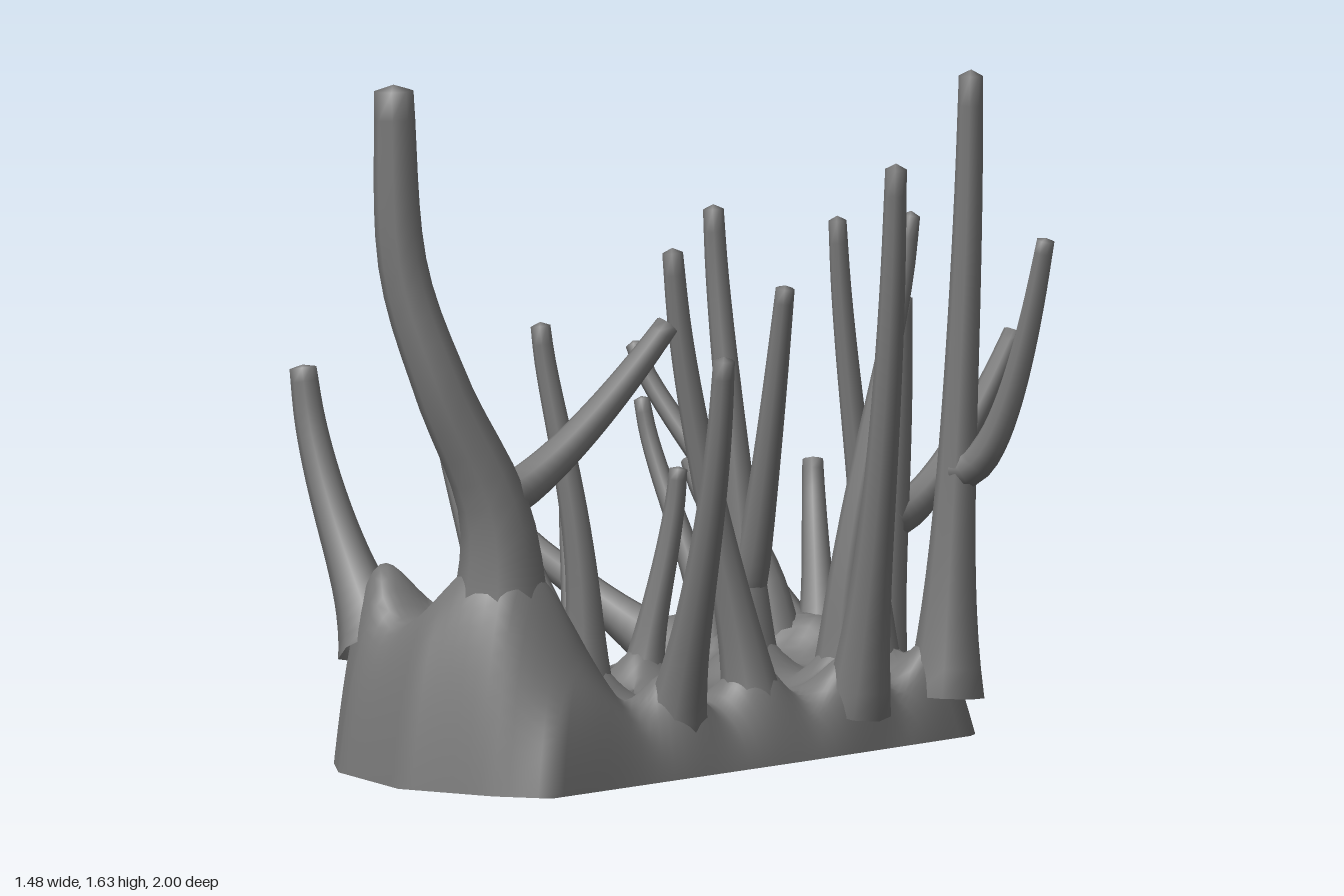
import * as THREE from 'three';
import { mergeVertices } from 'three/addons/utils/BufferGeometryUtils.js';

const { lerp, smoothstep } = THREE.MathUtils;
const material = new THREE.MeshStandardMaterial({ color: 0x777777, side: THREE.DoubleSide });

// Ground outline of the base as [x, z], front point first, round by the left side
const OUTLINE = [
  [0.3, 0.99], [0.53, 0.9], [0.645, 0.82], [0.6, 0], [0.56, -0.55], [0.48, -0.61],
  [0.05, -0.6], [-0.17, -0.35], [-0.2, 0], [-0.15, 0.76], [-0.1, 0.84], [0.02, 0.93],
];

// Height of the mound: tall at the front, low behind, falling off to the left
function moundHeight(x, z) {
  return (0.13 + 0.2 * smoothstep(z, 0.38, 0.68)) * (1 - 0.45 * smoothstep(x, 0.45, 0.62));
}

// Hollow mound, open underneath, swelling up around the root of each branch
function makeBase(roots) {
  const outline = new THREE.Shape(OUTLINE.map(([x, z]) => new THREE.Vector2(x, z)));
  outline.closePath();
  const n = 120, rings = 36;
  const points = outline.getSpacedPoints(n).slice(0, n);
  const pos = [], index = [];
  for (let k = 0; k <= rings; k++) {
    const inset = 0.999 * (k / rings) ** 1.6;
    const rise = 1 - (1 - Math.min(1, inset / 0.24)) ** 4;
    points.forEach((p, j) => {
      const x = lerp(p.x, 0.22, inset), z = lerp(p.y, 0.2, inset);
      let swell = 0;
      for (const { x: rx, z: rz, radius } of roots) {
        const d = Math.hypot(x - rx, z - rz) / (radius * 1.9);
        swell = Math.max(swell, radius * 2.4 * Math.exp(-d * d));
      }
      pos.push(x, (moundHeight(x, z) + swell) * rise, z);
      if (k === rings) return;
      const a = k * n + j, b = k * n + (j + 1) % n;
      index.push(a, b, b + n, a, b + n, a + n);
    });
  }
  const g = new THREE.BufferGeometry();
  g.setAttribute('position', new THREE.Float32BufferAttribute(pos, 3));
  g.setIndex(index);
  g.computeVertexNormals();
  return g;
}

// Round branch along a curve: flared root, tapering length, blunt tip
function makeBranch(curve, radius, flare) {
  const segs = 22, sides = 8;
  const g = new THREE.TubeGeometry(curve, segs, 1, sides, false);
  const pos = g.attributes.position;
  const v = new THREE.Vector3();
  for (let i = 0; i <= segs; i++) {
    const t = i === segs ? 1 : (i / (segs - 1)) * 0.99;
    const oldCentre = curve.getPointAt(i / segs);
    const centre = curve.getPointAt(t);
    const r = i === segs ? 0.0005 : radius * (lerp(0.95, 0.52, t) + flare * (1 - t) ** 6);
    for (let j = 0; j <= sides; j++) {
      const k = i * (sides + 1) + j;
      v.fromBufferAttribute(pos, k).sub(oldCentre).multiplyScalar(r).add(centre);
      pos.setXYZ(k, v.x, v.y, v.z);
    }
  }
  g.deleteAttribute('uv');
  g.deleteAttribute('normal');
  const merged = mergeVertices(g, 1e-5);
  merged.computeVertexNormals();
  return merged;
}

// Path from root to tip; bend above 1 spreads first then rises, below 1 rises first;
// sway above 0 keeps both ends more upright
function bentCurve(root, tip, bend, sway) {
  const points = [];
  for (let i = 0; i <= 7; i++) {
    const t = i / 7;
    const h = lerp(t, smoothstep(t, 0, 1), sway);
    points.push(new THREE.Vector3(
      lerp(root.x, tip[0], h), lerp(root.y, tip[1], t ** bend), lerp(root.z, tip[2], h)));
  }
  return new THREE.CatmullRomCurve3(points);
}

export function createModel() {
  const group = new THREE.Group();
  group.name = 'branchingCoral';
  const roots = [];
  const add = (name, geometry) => {
    const mesh = new THREE.Mesh(geometry, material);
    mesh.name = name;
    group.add(mesh);
  };
  // branch rooted in the mound
  const plant = (name, curve, radius) => {
    const { x, z } = curve.points[0];
    roots.push({ x, z, radius });
    add(name, makeBranch(curve, radius, 0.75));
    return curve;
  };
  // branch rising from the mound at (x, z)
  const grow = (name, x, z, tip, bend, radius) => {
    const root = new THREE.Vector3(x, moundHeight(x, z) * 0.85, z);
    return plant(name, bentCurve(root, tip, bend, 0.6), radius);
  };
  // branch along a few given points
  const trace = (name, path, radius) =>
    plant(name, new THREE.CatmullRomCurve3(path.map((p) => new THREE.Vector3(...p))), radius);
  // side arm leaving another branch at share t of its length
  const fork = (name, parent, t, tip, bend, radius) =>
    add(name, makeBranch(bentCurve(parent.getPointAt(t), tip, bend, 0), radius, 0.15));

  // front
  const trunk = trace('mainTrunk',
    [[0.38, 0.26, 0.75], [0.38, 0.62, 0.76], [0.32, 0.92, 0.87], [0.25, 1.2, 0.93], [0.22, 1.63, 0.935]], 0.088);
  fork('mainTrunkArm', trunk, 0.28, [0.47, 1.04, 0.31], 1.4, 0.054);
  trace('hookBranch', [[0.1, 0.29, 0.61], [0.12, 0.37, 0.52], [0.07, 0.53, 0.49], [0, 0.79, 0.55]], 0.042);
  grow('frontRightBranch', -0.02, 0.77, [-0.29, 0.9, 0.77], 1.4, 0.06);

  // left side
  grow('leftFrontBranch', 0.51, 0.33, [0.7, 0.99, 0.34], 1.4, 0.048);
  grow('leftInnerBranch', 0.48, 0.06, [0.355, 1.19, 0.2], 1.2, 0.046);
  grow('leftMiddleBranch', 0.53, -0.21, [0.66, 1.38, -0.22], 1.6, 0.048);
  const leftBack = grow('leftBackBranch', 0.52, -0.49, [0.48, 1.54, -0.605], 1.3, 0.054);
  fork('leftBackArm', leftBack, 0.36, [0.71, 1.17, -0.635], 2.2, 0.042);

  // middle
  grow('centreFrontBranch', 0.24, 0.36, [0.12, 1.01, 0.4], 0.6, 0.044);
  grow('centreShortBranch', 0.15, 0.12, [0.17, 0.64, 0.02], 1.1, 0.04);
  const centre = grow('centreForkRight', 0.17, -0.2, [0.015, 1.21, -0.22], 0.9, 0.046);
  fork('centreForkLeft', centre, 0.2, [0.27, 1.05, -0.22], 1.3, 0.042);
  grow('leaningBranch', 0.41, -0.26, [0.39, 1.21, -0.5], 0.8, 0.042);
  grow('uprightBranch', 0.36, -0.42, [0.285, 1.2, -0.365], 1, 0.04);

  // back
  const back = grow('backBranch', 0.2, -0.53, [0.195, 0.98, -0.635], 2, 0.056);
  fork('backArm', back, 0.4, [0.19, 0.86, -0.99], 1.6, 0.046);

  // right side
  grow('backRightCurl', 0.08, -0.49, [-0.13, 0.56, -0.65], 1, 0.046);
  grow('backRightBranch', 0.03, -0.48, [-0.42, 0.54, -0.53], 1, 0.052);
  grow('rightLongBranch', 0.03, -0.42, [-0.36, 0.84, -0.3], 0.7, 0.04);
  grow('rightThinBranch', 0, -0.24, [-0.25, 0.73, -0.23], 0.9, 0.036);
  trace('rightReachingBranch',
    [[-0.08, 0.15, -0.18], [-0.33, 0.28, -0.13], [-0.6, 0.41, -0.13], [-0.73, 0.6, -0.13]], 0.048);
  grow('rightTwigBack', -0.11, 0.09, [-0.25, 0.56, 0], 1, 0.032);
  grow('rightTwigFront', -0.11, 0.09, [-0.33, 0.66, 0.16], 1.1, 0.03);
  grow('rightFrontBranch', -0.09, 0.34, [-0.29, 0.84, 0.36], 0.9, 0.044);

  add('base', makeBase(roots));
  return group;
}
